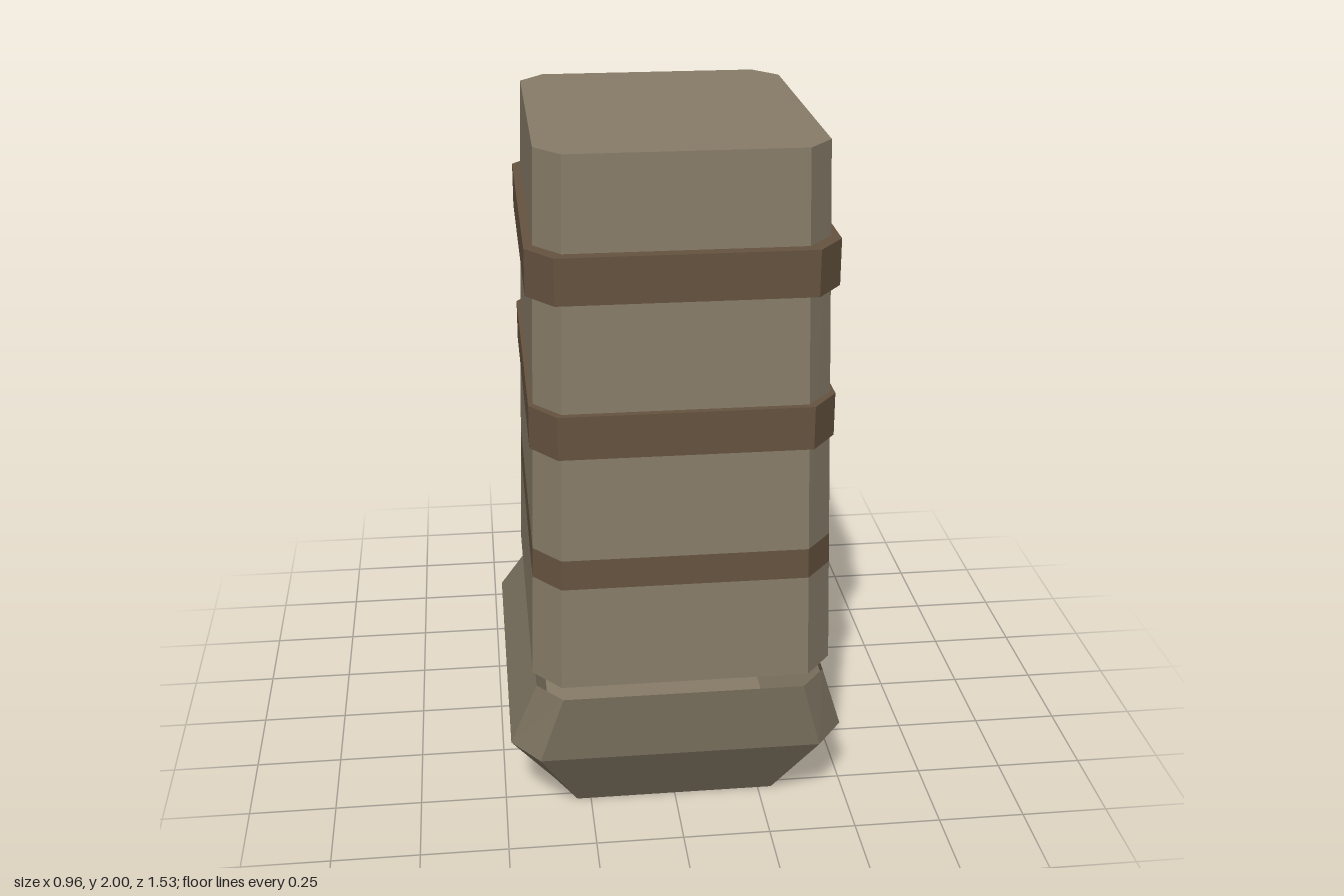
import * as THREE from 'three';

// Chamfered rectangle at height y: outer half width x, flat half width fx,
// z from back b to front f, with side flats from fb to ff.
const section = (y, x, fx, b, fb, ff, f) => [
  [x, y, ff], [x, y, fb], [fx, y, b], [-fx, y, b],
  [-x, y, fb], [-x, y, ff], [-fx, y, f], [fx, y, f],
];

// Section part-way between two others
const between = (a, b, t) => a.map((p, i) => p.map((v, k) => v + (b[i][k] - v) * t));

// Skin through sections from bottom to top, with optional end caps
function loft(sections, capBottom = false, capTop = false) {
  const pos = [];
  const tri = (a, b, c) => pos.push(...a, ...b, ...c);
  for (let s = 0; s < sections.length - 1; s++) {
    const lo = sections[s], hi = sections[s + 1];
    for (let i = 0; i < lo.length; i++) {
      const j = (i + 1) % lo.length;
      tri(lo[i], lo[j], hi[j]);
      tri(lo[i], hi[j], hi[i]);
    }
  }
  const first = sections[0], last = sections[sections.length - 1];
  for (let i = 1; i < first.length - 1; i++) {
    if (capBottom) tri(first[0], first[i + 1], first[i]);
    if (capTop) tri(last[0], last[i], last[i + 1]);
  }
  const geo = new THREE.BufferGeometry();
  geo.setAttribute('position', new THREE.Float32BufferAttribute(pos, 3));
  geo.computeVertexNormals();
  return geo;
}

export function createModel() {
  const model = new THREE.Group();
  model.name = 'boot';
  const material = (color) => new THREE.MeshStandardMaterial({ color, flatShading: true, side: THREE.DoubleSide });
  const khaki = material(0x877c68);
  const brown = material(0x665340);
  const add = (name, geo, mat) => {
    const mesh = new THREE.Mesh(geo, mat);
    mesh.name = name;
    model.add(mesh);
  };

  // Foot: closed sole, open at the ankle, sweeping out to the back
  add('foot', loft([
    section(0, 0.35, 0.29, -0.765, -0.645, 0.42, 0.53),
    section(0.24, 0.48, 0.4, -0.505, -0.39, 0.575, 0.68),
    section(0.475, 0.405, 0.335, -0.24, -0.15, 0.655, 0.74),
  ], true), khaki);

  // Tapered shaft, open below, with a flush stripe
  const bottom = section(0.53, 0.415, 0.34, -0.26, -0.17, 0.675, 0.765);
  const top = section(2, 0.375, 0.308, -0.215, -0.135, 0.635, 0.715);
  const at = (y) => between(bottom, top, (y - 0.53) / 1.47);
  add('lowerShaft', loft([bottom, at(0.825)]), khaki);
  add('flushStripe', loft([at(0.825), at(0.91)]), brown);
  add('upperShaft', loft([at(0.91), top], false, true), khaki);

  // Raised straps around the shaft
  const strap = (y) => section(y, 0.405, 0.335, -0.252, -0.162, 0.667, 0.757);
  for (const [name, y0, y1] of [['lowerStrap', 1.205, 1.325], ['upperStrap', 1.625, 1.75]]) {
    add(name, loft([at(y0), strap(y0), strap(y1), at(y1)]), brown);
  }
  return model;
}
